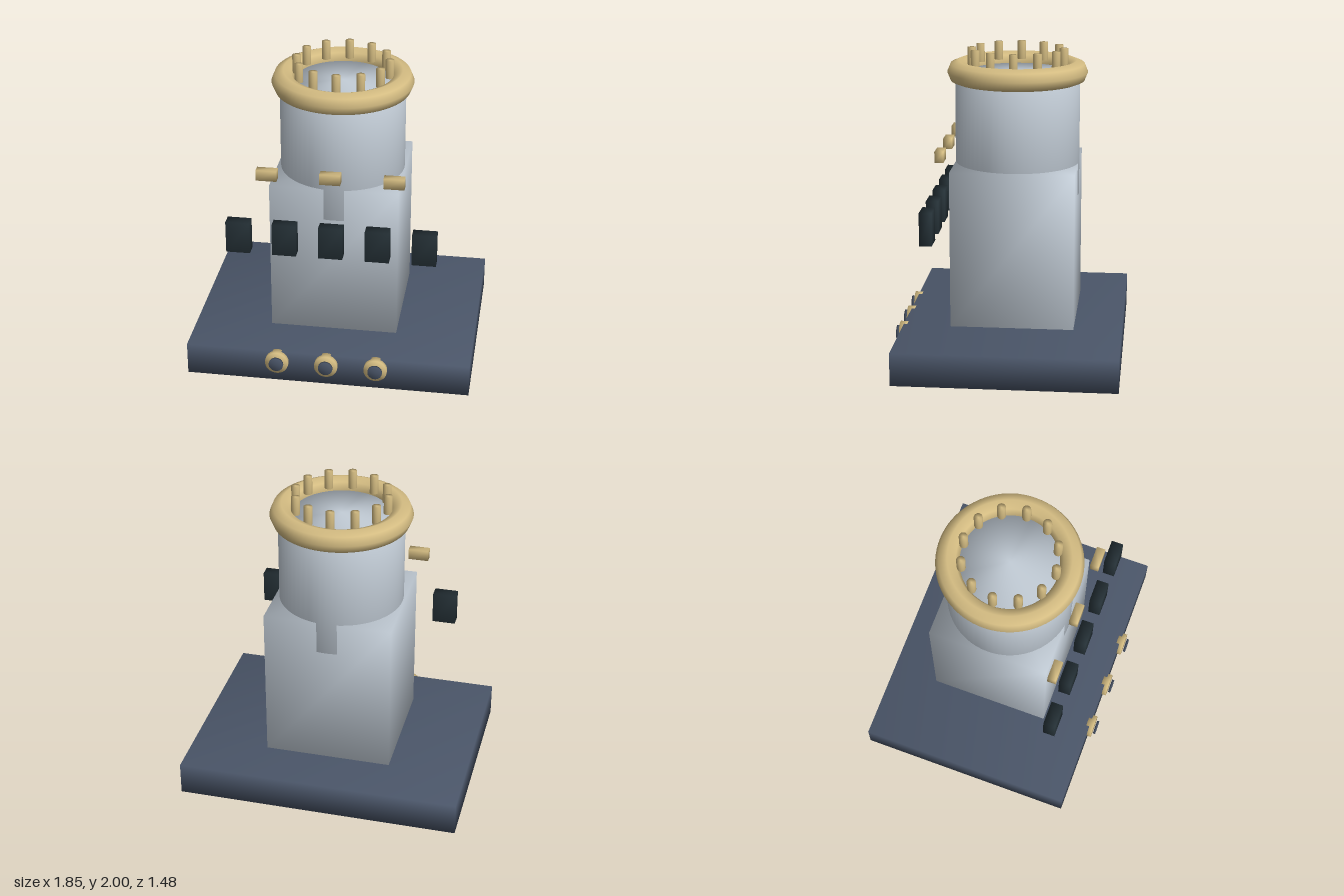
import * as THREE from 'three';
import { mergeVertices } from 'three/addons/utils/BufferGeometryUtils.js';

const material = (name, color) => {
  const m = new THREE.MeshStandardMaterial({ color });
  m.name = name;
  return m;
};

// Share the corners so that normals blend across every edge.
function soften(geometry) {
  geometry.deleteAttribute('normal');
  geometry.deleteAttribute('uv');
  const merged = mergeVertices(geometry, 1e-4);
  merged.computeVertexNormals();
  return merged;
}

export function createModel() {
  const slate = material('slate', 0x4a5568);
  const steel = material('pale steel', 0xc4ced8);
  const brass = material('brass', 0xd4bc82);
  const black = material('blue black', 0x263238);

  const model = new THREE.Group();
  model.name = 'towerOnBase';
  const CZ = -0.027; // tower axis in z

  function add(name, geometry, mat, x, y, z) {
    const mesh = new THREE.Mesh(geometry, mat);
    mesh.name = name;
    mesh.position.set(x, y, z);
    model.add(mesh);
    return mesh;
  }
  const box = (w, h, d) => soften(new THREE.BoxGeometry(w, h, d));
  const rod = (r, h, n) => soften(new THREE.CylinderGeometry(r, r, h, n));

  // Base slab, pivot and square housing
  add('base', box(1.85, 0.215, 1.43), slate, 0, 0.1075, -0.025);
  add('pivot', rod(0.2, 0.04, 48), slate, 0, 0.22, CZ);
  add('housing', box(0.832, 1.025, 0.8), steel, -0.002, 0.7425, CZ);

  // Round drum, just breaking through the front and back of the housing
  add('drum', rod(0.406, 0.81, 64), steel, 0, 1.445, CZ);

  // Rim and its ring of pegs
  const rim = new THREE.TorusGeometry(0.382, 0.075, 8, 80);
  rim.rotateX(Math.PI / 2);
  add('rim', rim, brass, 0, 1.847, CZ);
  const peg = rod(0.028, 0.12, 16);
  for (let i = 0; i < 12; i++) {
    const a = (i / 12) * Math.PI * 2;
    add('peg', peg, brass, 0.3 * Math.sin(a), 1.94, CZ + 0.3 * Math.cos(a));
  }

  // Row of dark blocks
  const block = box(0.155, 0.213, 0.08);
  for (let i = -2; i <= 2; i++) add('block', block, black, i * 0.299, 0.948, 0.49);

  // Row of small bars
  const bar = box(0.133, 0.07, 0.057);
  for (let i = -1; i <= 1; i++) add('bar', bar, brass, -0.013 + i * 0.406, 1.365, 0.43);

  // Dials on the front of the base
  const bezel = rod(0.076, 0.05, 32);
  const face = rod(0.047, 0.014, 32);
  for (let i = -1; i <= 1; i++) {
    const x = i * 0.323 - 0.003;
    add('dialBezel', bezel, brass, x, 0.145, 0.693).rotation.x = Math.PI / 2;
    add('dialFace', face, slate, x, 0.145, 0.734).rotation.x = Math.PI / 2;
  }
  return model;
}
